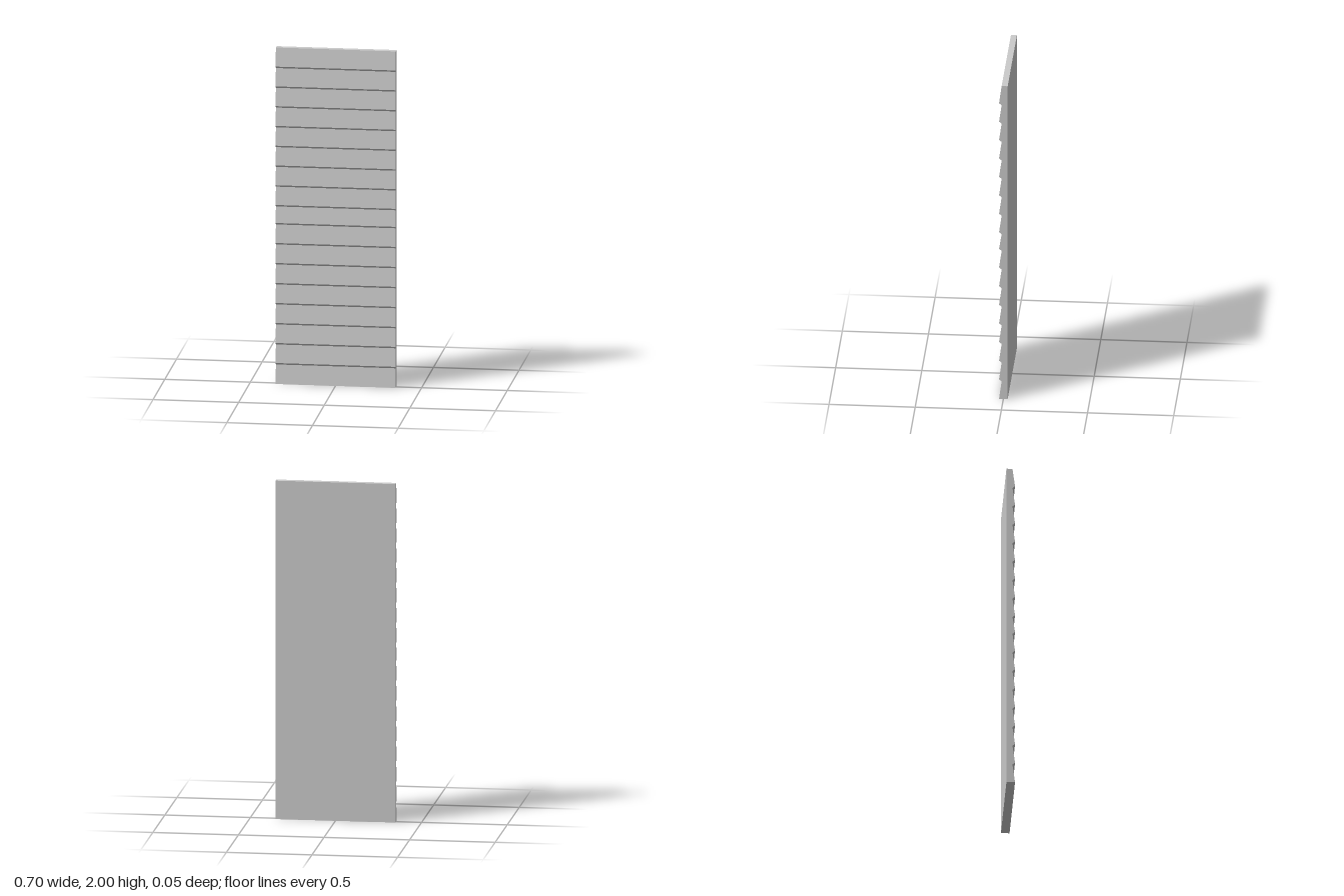
import * as THREE from 'three';

const WIDTH = 0.7, BACK = -0.025, LIP = 0.025, RECESS = 0.01;
const BEVEL = 0.006; // half height of the sloped underside of each board

// Heights of the joints between boards: the middle board is slightly narrower
function jointHeights() {
  const joints = [];
  for (let i = 1; i <= 8; i++) joints.push(0.1191 * i);
  for (let i = 0; i < 8; i++) joints.push(1.06 + 0.1177 * i);
  return joints;
}

export function createModel() {
  const group = new THREE.Group();
  group.name = 'sidingPanel';

  // Saw-tooth side profile, drawn as (z, y)
  const profile = new THREE.Shape();
  profile.moveTo(BACK, 0);
  profile.lineTo(LIP, 0);
  for (const y of jointHeights()) {
    profile.lineTo(RECESS, y - BEVEL);
    profile.lineTo(LIP, y + BEVEL);
  }
  profile.lineTo(RECESS, 2);
  profile.lineTo(BACK, 2);
  profile.closePath();

  // Extrude across the width, then turn the profile to face +z
  const geometry = new THREE.ExtrudeGeometry(profile, { depth: WIDTH, bevelEnabled: false });
  geometry.translate(0, 0, -WIDTH / 2);
  geometry.rotateY(-Math.PI / 2);

  const boards = new THREE.Mesh(
    geometry,
    new THREE.MeshStandardMaterial({ color: 0xcccccc, flatShading: true })
  );
  boards.name = 'lapBoards';
  group.add(boards);
  return group;
}
